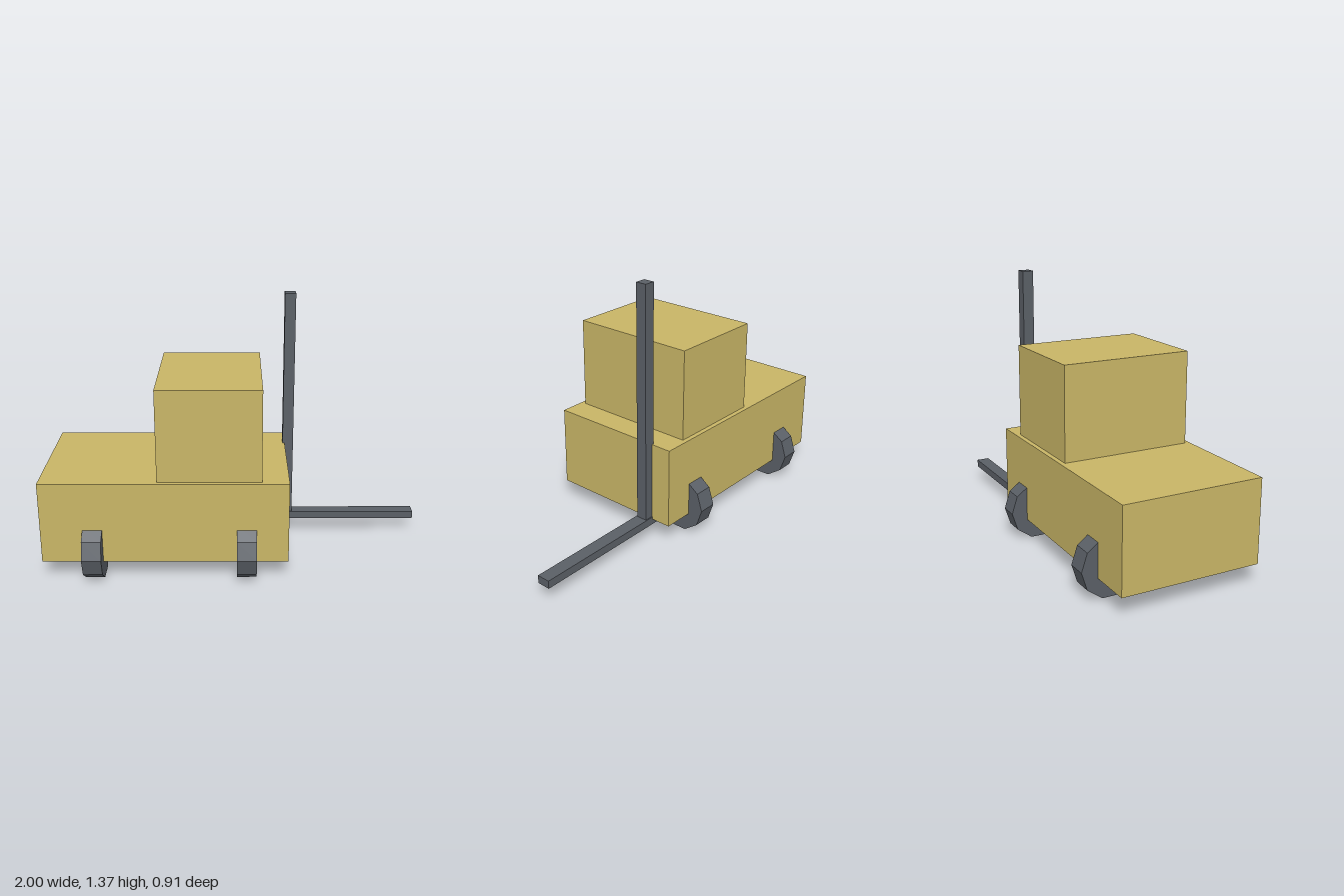
import * as THREE from 'three';

export function createModel() {
  const group = new THREE.Group();
  const yellow = new THREE.MeshStandardMaterial({ color: 0xc8b566 });
  yellow.name = 'ochre paint';
  const grey = new THREE.MeshStandardMaterial({ color: 0x5a5f66 });
  grey.name = 'dark grey';

  // Box given by its extents on each axis
  function box(name, material, [x0, x1], [y0, y1], [z0, z1]) {
    const mesh = new THREE.Mesh(new THREE.BoxGeometry(x1 - x0, y1 - y0, z1 - z0), material);
    mesh.position.set((x0 + x1) / 2, (y0 + y1) / 2, (z0 + z1) / 2);
    mesh.name = name;
    group.add(mesh);
  }

  // Truck body and cab
  box('body', yellow, [-1, 0.263], [0.103, 0.534], [-0.368, 0.368]);
  box('cab', yellow, [-0.404, 0.125], [0.534, 1.015], [-0.343, 0.343]);

  // Lifting mast and single fork on the right-hand side
  box('mast', grey, [0.252, 0.31], [0.1, 1.374], [-0.256, -0.198]);
  box('fork', grey, [0.213, 1], [0.075, 0.117], [-0.262, -0.192]);

  // Ten-sided wheels with axles along x
  const radius = 0.156;
  const wheelGeometry = new THREE.CylinderGeometry(radius, radius, 0.1, 10).toNonIndexed();
  wheelGeometry.rotateZ(Math.PI / 2);
  wheelGeometry.computeVertexNormals();
  for (const [end, x] of [['rear', -0.736], ['front', 0.049]]) {
    for (const [side, z] of [['Near', 0.297], ['Far', -0.297]]) {
      const wheel = new THREE.Mesh(wheelGeometry, grey);
      wheel.position.set(x, radius * Math.sin(Math.PI * 0.4), z);
      wheel.name = end + side + 'Wheel';
      group.add(wheel);
    }
  }
  return group;
}
